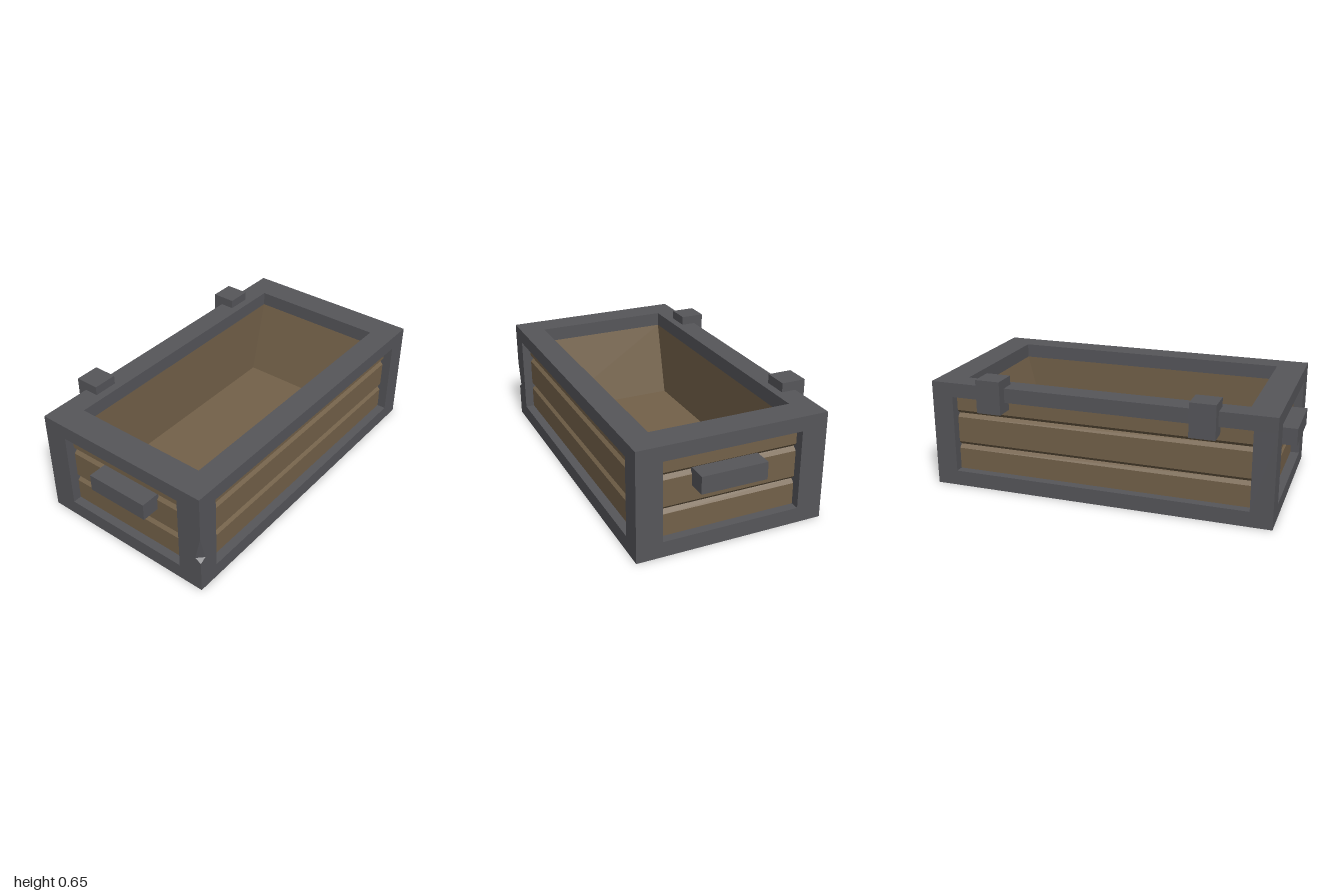
import * as THREE from 'three';
import { ConvexGeometry } from 'three/addons/geometries/ConvexGeometry.js';

export function createModel() {
  const crate = new THREE.Group();
  crate.name = 'openCrate';
  const metal = new THREE.MeshStandardMaterial({ color: 0x56565a, flatShading: true });
  metal.name = 'darkMetal';
  const wood = new THREE.MeshStandardMaterial({ color: 0x736149, flatShading: true });
  wood.name = 'brownWood';

  const add = (name, geometry, material) => {
    const mesh = new THREE.Mesh(geometry, material);
    mesh.name = name;
    crate.add(mesh);
    return mesh;
  };
  // Box given by its lower and upper limits on each axis
  const box = (name, material, [x0, x1], [y0, y1], [z0, z1]) => {
    const mesh = add(name, new THREE.BoxGeometry(x1 - x0, y1 - y0, z1 - z0), material);
    mesh.position.set((x0 + x1) / 2, (y0 + y1) / 2, (z0 + z1) / 2);
    return mesh;
  };

  const X = 0.95, FRONT = 0.545, BACK = -0.49;
  const LOW = 0.085, HIGH = 0.52, TOP = 0.6;

  // Base slab and inner floor
  box('base', metal, [-X, X], [0, LOW], [BACK, FRONT]);
  box('innerFloor', wood, [-0.7, 0.7], [LOW, LOW + 0.004], [-0.37, 0.415]);

  // Top rim with a rectangular opening
  const rect = (Kind, x, z0, z1) => new Kind([
    new THREE.Vector2(-x, -z1), new THREE.Vector2(x, -z1),
    new THREE.Vector2(x, -z0), new THREE.Vector2(-x, -z0),
  ]);
  const rimShape = rect(THREE.Shape, X, BACK, FRONT);
  rimShape.holes.push(rect(THREE.Path, 0.79, -0.365, 0.41));
  const rim = new THREE.ExtrudeGeometry(rimShape, { depth: TOP - HIGH, bevelEnabled: false });
  rim.rotateX(-Math.PI / 2);
  add('topRim', rim, metal).position.y = HIGH;

  // Corner posts; the front post on the -x side has a chipped edge
  const px = 0.83, pz = 0.405;
  box('frontPost', metal, [px, X], [LOW, HIGH], [pz, FRONT]);
  for (const s of [-1, 1]) {
    const xs = s > 0 ? [px, X] : [-X, -px];
    box('backPost', metal, xs, [LOW, HIGH], [BACK, -0.35]);
  }
  const chipTop = 0.35, chipMid = 0.205, chipLow = 0.185, cut = 0.035;
  box('chippedPostTop', metal, [-X, -px], [chipTop, HIGH], [pz, FRONT]);
  box('chippedPostBottom', metal, [-X, -px], [LOW, chipLow], [pz, FRONT]);
  const section = (y, c) => {
    const pts = [[-px, pz], [-px, FRONT], [-X, pz]];
    if (c) pts.push([-X + c, FRONT], [-X, FRONT - c]);
    else pts.push([-X, FRONT]);
    return pts.map(([x, z]) => new THREE.Vector3(x, y, z));
  };
  for (const y of [chipTop, chipLow]) {
    add('chippedPostNotch', new ConvexGeometry([...section(y, 0), ...section(chipMid, cut)]), metal);
  }

  // Plank wall: grooved outer side, plain inner side that may slope
  const wall = (name, outer, innerTop, innerLow, length, turn, x, z) => {
    const pts = [[innerLow, LOW], [outer, LOW]];
    for (const g of [0.225, 0.41]) {
      pts.push([outer, g - 0.02], [outer - 0.02, g], [outer, g + 0.02]);
    }
    pts.push([outer, HIGH], [innerTop, HIGH]);
    const shape = new THREE.Shape(pts.map(([a, b]) => new THREE.Vector2(a, b)));
    const geometry = new THREE.ExtrudeGeometry(shape, { depth: length, bevelEnabled: false });
    geometry.translate(0, 0, -length / 2);
    const mesh = add(name, geometry, wood);
    mesh.rotation.y = turn;
    mesh.position.set(x, 0, z);
  };
  wall('frontPlanks', 0.495, 0.41, 0.41, 1.66, -Math.PI / 2, 0, 0);
  wall('backPlanks', 0.44, 0.365, 0.365, 1.66, Math.PI / 2, 0, 0);
  wall('leftEndPlanks', 0.9, 0.79, 0.683, 0.775, 0, 0, 0.0225);
  wall('rightEndPlanks', 0.9, 0.79, 0.683, 0.775, Math.PI, 0, 0.0225);

  // End handles and rear hinge blocks, one on each side
  for (const s of [-1, 1]) {
    const span = (a, b) => (s > 0 ? [a, b] : [-b, -a]);
    box('handle', metal, span(0.89, 1), [0.33, 0.425], [-0.13, 0.23]);
    box('hingeBlock', metal, span(0.515, 0.653), [0.465, 0.65], [-0.545, -0.41]);
  }
  return crate;
}
